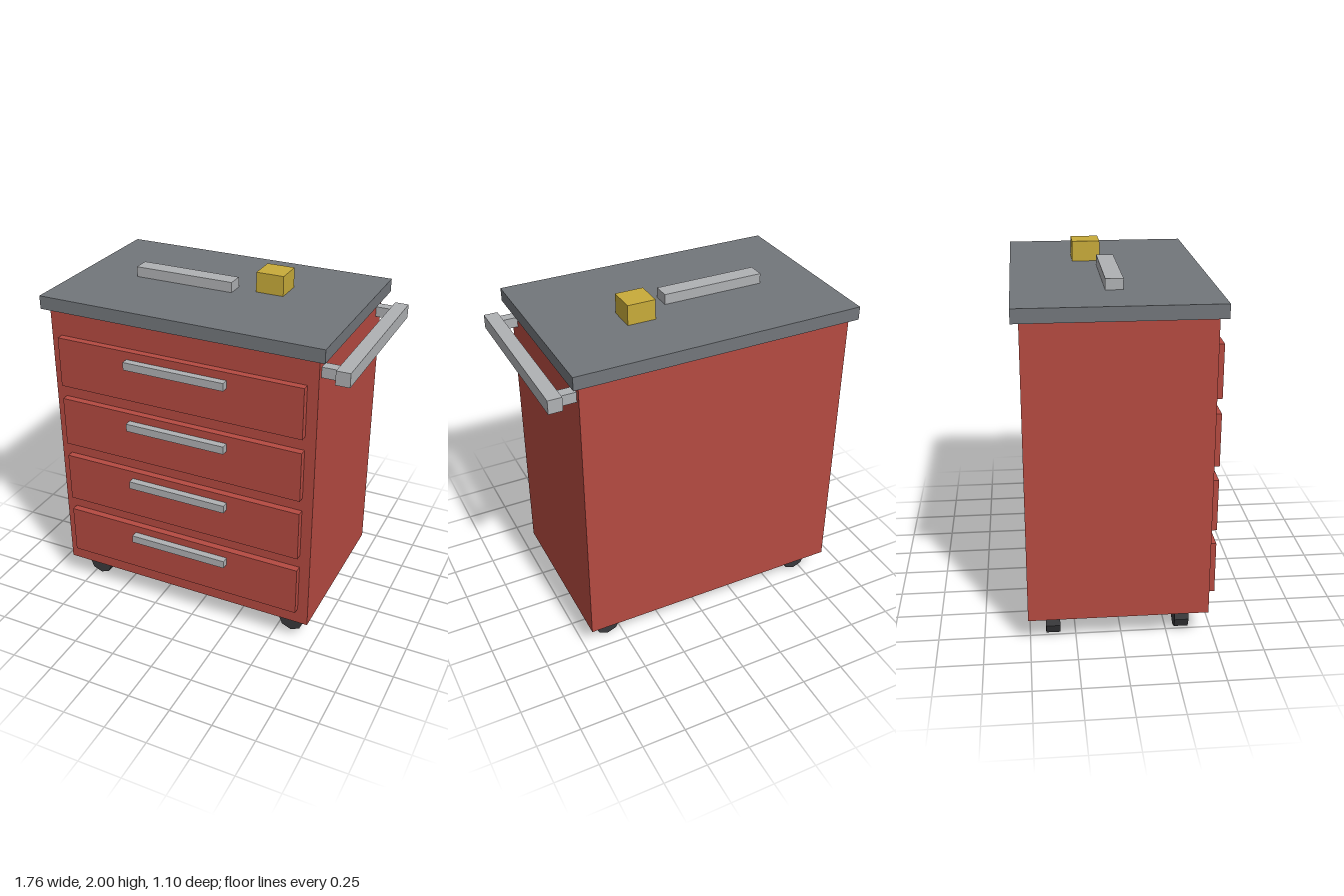
import * as THREE from 'three';

const material = (name, color) => {
  const m = new THREE.MeshStandardMaterial({ color });
  m.name = name;
  return m;
};

export function createModel() {
  const red = material('red paint', 0xb54a41);
  const grey = material('grey worktop', 0x72767b);
  const steel = material('light steel', 0xafb1b4);
  const yellow = material('yellow', 0xc8ab3a);
  const rubber = material('dark rubber', 0x39393c);

  const model = new THREE.Group();
  model.name = 'toolCabinet';

  // Box given by its lower and upper limits on each axis
  const box = (name, mat, [x0, x1], [y0, y1], [z0, z1]) => {
    const mesh = new THREE.Mesh(new THREE.BoxGeometry(x1 - x0, y1 - y0, z1 - z0), mat);
    mesh.position.set((x0 + x1) / 2, (y0 + y1) / 2, (z0 + z1) / 2);
    mesh.name = name;
    model.add(mesh);
    return mesh;
  };

  // Cabinet and worktop
  box('cabinetBody', red, [-0.845, 0.72], [0.153, 1.812], [-0.51, 0.47]);
  box('worktop', grey, [-0.88, 0.76], [1.812, 1.887], [-0.55, 0.51]);

  // Four drawers with bar handles
  for (let i = 0; i < 4; i++) {
    const y = 0.249 + i * 0.3725;
    box('drawerFront', red, [-0.785, 0.66], [y, y + 0.292], [0.465, 0.51]);
    box('drawerHandle', steel, [-0.355, 0.235], [y + 0.202, y + 0.247], [0.51, 0.55]);
  }

  // Push bar on the left side, held by two posts
  box('pushBar', steel, [0.803, 0.88], [1.69, 1.768], [-0.51, 0.47]);
  for (const z of [-0.453, 0.411]) {
    box('pushBarPost', steel, [0.715, 0.805], [1.7, 1.758], [z - 0.029, z + 0.029]);
  }

  // Castors: eight-sided wheel and bracket
  const wheelGeometry = new THREE.CylinderGeometry(0.077, 0.077, 0.077, 8).rotateX(Math.PI / 2);
  for (const x of [-0.708, 0.585]) {
    for (const z of [-0.374, 0.334]) {
      const wheel = new THREE.Mesh(wheelGeometry, rubber);
      wheel.geometry = wheelGeometry.toNonIndexed();
      wheel.geometry.computeVertexNormals();
      wheel.position.set(x, 0.077, z);
      wheel.name = 'castorWheel';
      model.add(wheel);
      box('castorBracket', steel, [x - 0.038, x + 0.038], [0.1, 0.154], [z - 0.0395, z + 0.0395]);
    }
  }

  // Loose items lying on the worktop
  box('steelBar', steel, [-0.55, 0.037], [1.887, 1.945], [-0.067, 0.027]);
  box('yellowBlock', yellow, [0.153, 0.312], [1.887, 2], [-0.195, -0.04]);

  return model;
}
